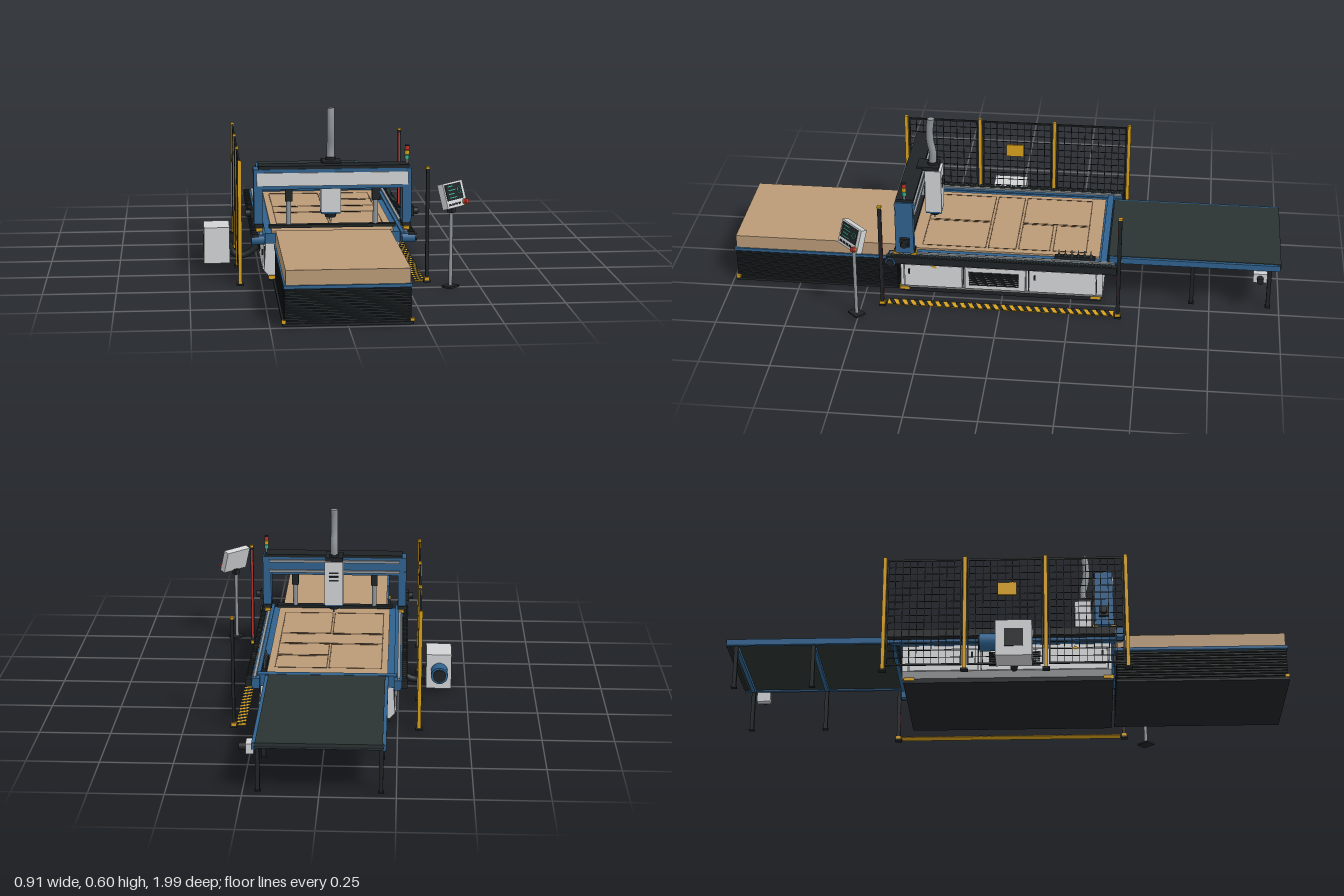
import * as THREE from 'three';

const mat = (name, color) => Object.assign(new THREE.MeshStandardMaterial({ color }), { name });
const wood = mat('wood', 0xba9b78), blue = mat('blue paint', 0x2f628f), grey = mat('light grey paint', 0xd2d3d5);
const steel = mat('steel', 0x8f959a), black = mat('black', 0x1f2426), belt = mat('belt rubber', 0x2b3433);
const yellow = mat('yellow', 0xd9a21c), red = mat('red', 0xc03028), green = mat('green', 0x35b58c), groove = mat('cut groove', 0x5e4a36);

function part(parent, name) {
  const g = new THREE.Group();
  g.name = name;
  parent.add(g);
  return g;
}
function add(g, name, geometry, m, x = 0, y = 0, z = 0) {
  const mesh = new THREE.Mesh(geometry, m);
  mesh.name = name;
  mesh.position.set(x, y, z);
  g.add(mesh);
  return mesh;
}
// box given by its limits on each axis
const box = (g, name, m, x0, x1, y0, y1, z0, z1) =>
  add(g, name, new THREE.BoxGeometry(x1 - x0, y1 - y0, z1 - z0), m, (x0 + x1) / 2, (y0 + y1) / 2, (z0 + z1) / 2);
// box given by centre and size
const block = (g, name, m, x, y, z, w, h, d) => add(g, name, new THREE.BoxGeometry(w, h, d), m, x, y, z);
// cylinder along an axis
function cyl(g, name, m, x, y, z, r, len, axis = 'y', r2 = r) {
  const c = add(g, name, new THREE.CylinderGeometry(r, r2, len, 20), m, x, y, z);
  if (axis === 'x') c.rotation.z = Math.PI / 2;
  if (axis === 'z') c.rotation.x = Math.PI / 2;
  return c;
}
function tube(g, name, m, pts, r) {
  const curve = new THREE.CatmullRomCurve3(pts.map(p => new THREE.Vector3(...p)));
  return add(g, name, new THREE.TubeGeometry(curve, 32, r, 14), m);
}

// scissor lift with bellows and stacked boards
function liftTable(root) {
  const g = part(root, 'liftTable');
  box(g, 'liftBase', black, -0.21, 0.21, 0.004, 0.013, 0.385, 0.99);
  const n = 11, h = 0.113 / n;
  for (let i = 0; i < n; i++) {
    const y = 0.013 + i * h;
    box(g, 'bellowsFold', black, -0.203, 0.203, y, y + h * 0.6, 0.388, 0.985);
    box(g, 'bellowsValley', belt, -0.195, 0.195, y + h * 0.6, y + h, 0.395, 0.978);
  }
  box(g, 'liftPlatform', blue, -0.206, 0.206, 0.126, 0.137, 0.383, 0.99);
  box(g, 'boardStack', wood, -0.2, 0.2, 0.137, 0.186, 0.385, 0.983);
  for (const s of [-1, 1]) block(g, 'liftCorner', yellow, s * 0.206, 0.019, 0.982, 0.014, 0.01, 0.016);
}

// machine base and bed
function machineBase(root) {
  const g = part(root, 'machineBase');
  box(g, 'plinth', black, -0.222, 0.222, 0.004, 0.02, -0.36, 0.375);
  const s = new THREE.Shape([[-0.222, 0.02], [0.222, 0.02], [0.24, 0.04], [0.232, 0.165], [-0.232, 0.165], [-0.24, 0.04]]
    .map(p => new THREE.Vector2(...p)));
  add(g, 'cabinet', new THREE.ExtrudeGeometry(s, { depth: 0.735, bevelEnabled: false }), grey, 0, 0, -0.365);
  box(g, 'bedFrame', blue, -0.236, 0.236, 0.14, 0.176, -0.375, 0.382);
  box(g, 'rearBar', blue, -0.245, 0.245, 0.155, 0.186, -0.378, -0.355);
  box(g, 'workSheet', wood, -0.213, 0.213, 0.176, 0.183, -0.35, 0.375);
  // outlines of the cut pieces
  const cuts = [[-0.19, -0.004, -0.3, -0.055], [0.004, 0.187, -0.3, -0.18], [0.004, 0.187, -0.168, -0.055],
    [-0.19, 0.187, -0.045, 0.055], [-0.19, -0.004, 0.065, 0.295], [0.004, 0.187, 0.065, 0.295]];
  for (const [x0, x1, z0, z1] of cuts) {
    for (const x of [x0, x1]) box(g, 'cutLine', groove, x - 0.002, x + 0.002, 0.183, 0.184, z0, z1);
    for (const z of [z0, z1]) box(g, 'cutLine', groove, x0, x1, 0.183, 0.184, z - 0.002, z + 0.002);
  }
  for (const sd of [-1, 1]) {
    // guide rails and cable trays
    block(g, 'sideBeam', blue, sd * 0.248, 0.162, 0, 0.026, 0.036, 0.82);
    block(g, 'guideRail', steel, sd * 0.252, 0.183, 0, 0.01, 0.007, 0.81);
    block(g, 'cableTray', black, sd * 0.272, 0.167, 0, 0.022, 0.028, 0.83);
    for (let i = 0; i < 40; i++) block(g, 'chainLink', belt, sd * 0.272, 0.183, -0.39 + i * 0.02, 0.015, 0.005, 0.012);
    // cabinet doors, vents and feet
    for (const [z, w] of [[0.25, 0.21], [0.025, 0.22], [-0.22, 0.24]]) {
      const d = block(g, 'door', grey, sd * 0.239, 0.083, z, 0.007, 0.085, w);
      d.rotation.z = sd * 0.06;
      for (const e of [-1, 1]) block(g, 'doorGap', black, sd * 0.238, 0.083, z + e * (w / 2 + 0.003), 0.004, 0.085, 0.003);
      block(g, 'doorHandle', black, sd * 0.244, 0.1, z + w * 0.42, 0.005, 0.02, 0.006);
    }
    for (let i = 0; i < 7; i++) block(g, 'ventSlot', black, sd * 0.243, 0.058 + i * 0.008, 0.03, 0.007, 0.005, 0.18);
    add(g, 'warningSign', new THREE.CylinderGeometry(0.012, 0.012, 0.004, 3), yellow, sd * 0.2385, 0.122, 0.245).rotation.set(0, 0, Math.PI / 2);
    for (const z of [-0.34, 0.36]) block(g, 'foot', yellow, sd * 0.212, 0.018, z, 0.026, 0.012, 0.035);
  }
  // tool rack
  box(g, 'toolRack', black, 0.215, 0.232, 0.176, 0.189, -0.335, -0.19);
  for (let i = 0; i < 6; i++) {
    cyl(g, 'toolHolder', black, 0.224, 0.193, -0.32 + i * 0.023, 0.003, 0.012, 'y', 0.008);
    cyl(g, 'toolBit', steel, 0.224, 0.205, -0.32 + i * 0.023, 0.002, 0.014);
  }
}

// moving bridge with spindle, pusher and signal tower
function gantry(root) {
  const g = part(root, 'gantry');
  box(g, 'crossBeam', blue, -0.275, 0.275, 0.33, 0.4, 0.315, 0.378);
  box(g, 'beamPanel', grey, -0.264, 0.264, 0.342, 0.388, 0.375, 0.383);
  box(g, 'beamCableTray', black, -0.258, 0.268, 0.4, 0.411, 0.312, 0.376);
  for (const y of [0.345, 0.385]) box(g, 'beamRail', steel, -0.25, 0.25, y - 0.005, y + 0.005, 0.308, 0.315);
  for (const s of [-1, 1]) {
    block(g, 'post', blue, s * 0.259, 0.27, 0.347, 0.031, 0.15, 0.066);
    block(g, 'postShoe', black, s * 0.257, 0.202, 0.347, 0.03, 0.014, 0.075);
    for (const z of [0.315, 0.38]) block(g, 'slideBlock', yellow, s * 0.257, 0.19, z, 0.022, 0.012, 0.02);
    cyl(g, 'sideMotor', black, s * 0.287, 0.242, 0.345, 0.012, 0.03, 'x');
    block(g, 'motorFlange', black, s * 0.28, 0.242, 0.345, 0.012, 0.034, 0.034);
    cyl(g, 'driveMotor', blue, s * 0.262, 0.159, 0.4, 0.018, 0.046, 'x');
    // pusher cylinders
    cyl(g, 'pusherRod', steel, s * 0.152, 0.24, 0.345, 0.009, 0.09);
    block(g, 'pusherHead', black, s * 0.152, 0.307, 0.345, 0.025, 0.048, 0.025);
  }
  cyl(g, 'driveMotorCap', black, 0.288, 0.159, 0.4, 0.013, 0.008, 'x');
  box(g, 'pusherBar', black, -0.222, 0.222, 0.189, 0.2, 0.335, 0.36);
  // spindle carriage
  box(g, 'spindleHousing', grey, -0.035, 0.035, 0.233, 0.402, 0.245, 0.305);
  box(g, 'spindleBase', blue, -0.034, 0.034, 0.226, 0.233, 0.246, 0.304);
  for (let i = 0; i < 3; i++) block(g, 'housingVent', black, 0, 0.33 + i * 0.015, 0.245, 0.035, 0.006, 0.004);
  cyl(g, 'spindleNose', black, 0, 0.218, 0.275, 0.024, 0.016, 'y', 0.018);
  cyl(g, 'cutter', steel, 0, 0.203, 0.275, 0.004, 0.016);
  box(g, 'hoseMount', black, -0.033, 0.033, 0.402, 0.417, 0.255, 0.335);
  cyl(g, 'hoseCollar', black, 0, 0.42, 0.28, 0.018, 0.012);
  tube(g, 'dustHose', steel, [[0, 0.41, 0.28], [0, 0.46, 0.278], [0, 0.51, 0.287], [0, 0.56, 0.288], [0, 0.6, 0.283]], 0.0135);
  cyl(g, 'hoseEnd', steel, 0, 0.597, 0.283, 0.0135, 0.006);
  // signal tower
  cyl(g, 'towerStem', steel, 0.262, 0.414, 0.345, 0.004, 0.028);
  [green, yellow, red].forEach((m, i) => cyl(g, 'signalLamp', m, 0.262, 0.433 + i * 0.016, 0.345, 0.008, 0.014));
  cyl(g, 'towerCap', black, 0.262, 0.4735, 0.345, 0.008, 0.003);
}

// outfeed conveyor behind the bed
function conveyor(root) {
  const g = part(root, 'conveyor');
  box(g, 'conveyorBelt', belt, -0.205, 0.205, 0.168, 0.187, -0.998, -0.382);
  for (const s of [-1, 1]) {
    block(g, 'conveyorRail', blue, s * 0.21, 0.174, -0.69, 0.012, 0.022, 0.61);
    for (const z of [-0.685, -0.96]) {
      block(g, 'conveyorLeg', black, s * 0.2, 0.085, z, 0.014, 0.16, 0.014);
      block(g, 'legFoot', black, s * 0.2, 0.006, z, 0.02, 0.005, 0.02);
    }
  }
  for (const z of [-0.4, -0.685, -0.96]) block(g, 'crossMember', blue, 0, 0.162, z, 0.41, 0.014, 0.014);
  for (const z of [-0.393, -0.988]) cyl(g, 'beltRoller', black, 0, 0.176, z, 0.0105, 0.416, 'x');
  block(g, 'gearbox', grey, 0.226, 0.145, -0.925, 0.026, 0.036, 0.05);
  cyl(g, 'conveyorMotor', black, 0.25, 0.145, -0.925, 0.012, 0.024, 'x');
}

// mesh guard along the right side
function fence(root) {
  const g = part(root, 'safetyFence'), x = -0.325;
  const posts = [-0.425, -0.142, 0.142, 0.425];
  for (const z of posts) {
    block(g, 'fencePost', yellow, x, 0.224, z, 0.013, 0.438, 0.013);
    block(g, 'postFoot', black, x, 0.007, z, 0.026, 0.006, 0.026);
  }
  for (let p = 0; p < 3; p++) {
    const z0 = posts[p] + 0.012, z1 = posts[p + 1] - 0.012, zc = (z0 + z1) / 2, w = z1 - z0;
    for (const y of [0.028, 0.432]) block(g, 'frameBar', black, x, y, zc, 0.006, 0.006, w);
    for (const z of [z0, z1]) block(g, 'frameUpright', black, x, 0.23, z, 0.006, 0.41, 0.006);
    for (let i = 1; i < 10; i++) block(g, 'meshWire', black, x, 0.23, z0 + w * i / 10, 0.002, 0.4, 0.0022);
    for (let i = 1; i < 15; i++) block(g, 'meshWire', black, x, 0.028 + 0.404 * i / 15, zc, 0.002, 0.0022, w);
  }
  block(g, 'fenceSign', yellow, x, 0.315, 0.008, 0.008, 0.048, 0.065);
}

// light barrier and hazard strip on the left side
function lightBarrier(root) {
  const g = part(root, 'lightBarrier');
  for (const s of [-1, 1]) {
    const z = s * 0.425;
    block(g, 'barrierPost', black, 0.325, 0.208, z, 0.011, 0.395, 0.013);
    block(g, 'barrierLens', red, 0.325, 0.215, z - s * 0.0068, 0.006, 0.36, 0.001);
    block(g, 'barrierCap', yellow, 0.325, 0.409, z, 0.013, 0.007, 0.015);
    block(g, 'barrierFoot', black, 0.325, 0.007, z, 0.024, 0.007, 0.024);
    block(g, 'barrierClamp', yellow, 0.325, 0.016, z, 0.018, 0.011, 0.02);
  }
  box(g, 'hazardStrip', yellow, 0.285, 0.32, 0.002, 0.005, -0.41, 0.41);
  const stripe = new THREE.Shape([[-0.0175, -0.016], [0.0175, 0], [0.0175, 0.015], [-0.0175, -0.001]].map(p => new THREE.Vector2(...p)));
  const geo = new THREE.ExtrudeGeometry(stripe, { depth: 0.001, bevelEnabled: false }).rotateX(-Math.PI / 2);
  for (let i = 0; i < 27; i++) add(g, 'hazardStripe', geo, black, 0.3025, 0.005, -0.39 + i * 0.03);
}

// operator panel on a stand
function controlStand(root) {
  const g = part(root, 'controlStand');
  g.position.set(0.396, 0, 0.508);
  g.rotation.y = 0.8;
  block(g, 'standBase', black, 0, 0.007, 0, 0.05, 0.007, 0.04);
  cyl(g, 'standPole', steel, 0, 0.14, 0, 0.0065, 0.265);
  block(g, 'panelBracket', black, 0, 0.277, 0, 0.02, 0.02, 0.02);
  const p = part(g, 'controlPanel');
  p.position.set(0, 0.328, 0.004);
  p.rotation.x = -0.3;
  block(p, 'panelCase', grey, 0, 0, 0, 0.112, 0.088, 0.024);
  block(p, 'screen', black, -0.004, 0.01, 0.0125, 0.09, 0.056, 0.003);
  for (let i = 0; i < 4; i++) block(p, 'screenLine', green, -0.022 + (i % 2) * 0.006, 0.03 - i * 0.013, 0.0145, 0.03 + (i % 2) * 0.012, 0.003, 0.001);
  add(p, 'screenDial', new THREE.TorusGeometry(0.01, 0.0015, 6, 20), green, 0.024, 0.012, 0.014);
  for (let i = 0; i < 4; i++) block(p, 'panelKey', black, -0.04 + i * 0.018, -0.032, 0.0125, 0.011, 0.007, 0.003);
  cyl(p, 'stopCollar', yellow, 0.042, -0.032, 0.014, 0.011, 0.004, 'z');
  cyl(p, 'stopButton', red, 0.042, -0.032, 0.02, 0.009, 0.012, 'z');
}

// vacuum pump with hose to the bed
function vacuumPump(root) {
  const g = part(root, 'vacuumPump');
  box(g, 'pumpCabinet', grey, -0.445, -0.352, 0.006, 0.138, -0.03, 0.095);
  box(g, 'pumpVent', black, -0.448, -0.444, 0.04, 0.105, 0.0, 0.065);
  cyl(g, 'pumpMotor', blue, -0.4, 0.075, -0.055, 0.031, 0.06, 'z');
  cyl(g, 'motorCap', black, -0.4, 0.075, -0.087, 0.024, 0.006, 'z');
  tube(g, 'vacuumHose', black, [[-0.353, 0.07, 0.03], [-0.34, 0.035, 0.03], [-0.315, 0.02, 0.03], [-0.28, 0.03, 0.03], [-0.235, 0.07, 0.03]], 0.012);
}

export function createModel() {
  const root = new THREE.Group();
  root.name = 'routingMachine';
  for (const build of [liftTable, machineBase, gantry, conveyor, fence, lightBarrier, controlStand, vacuumPump]) build(root);
  return root;
}
